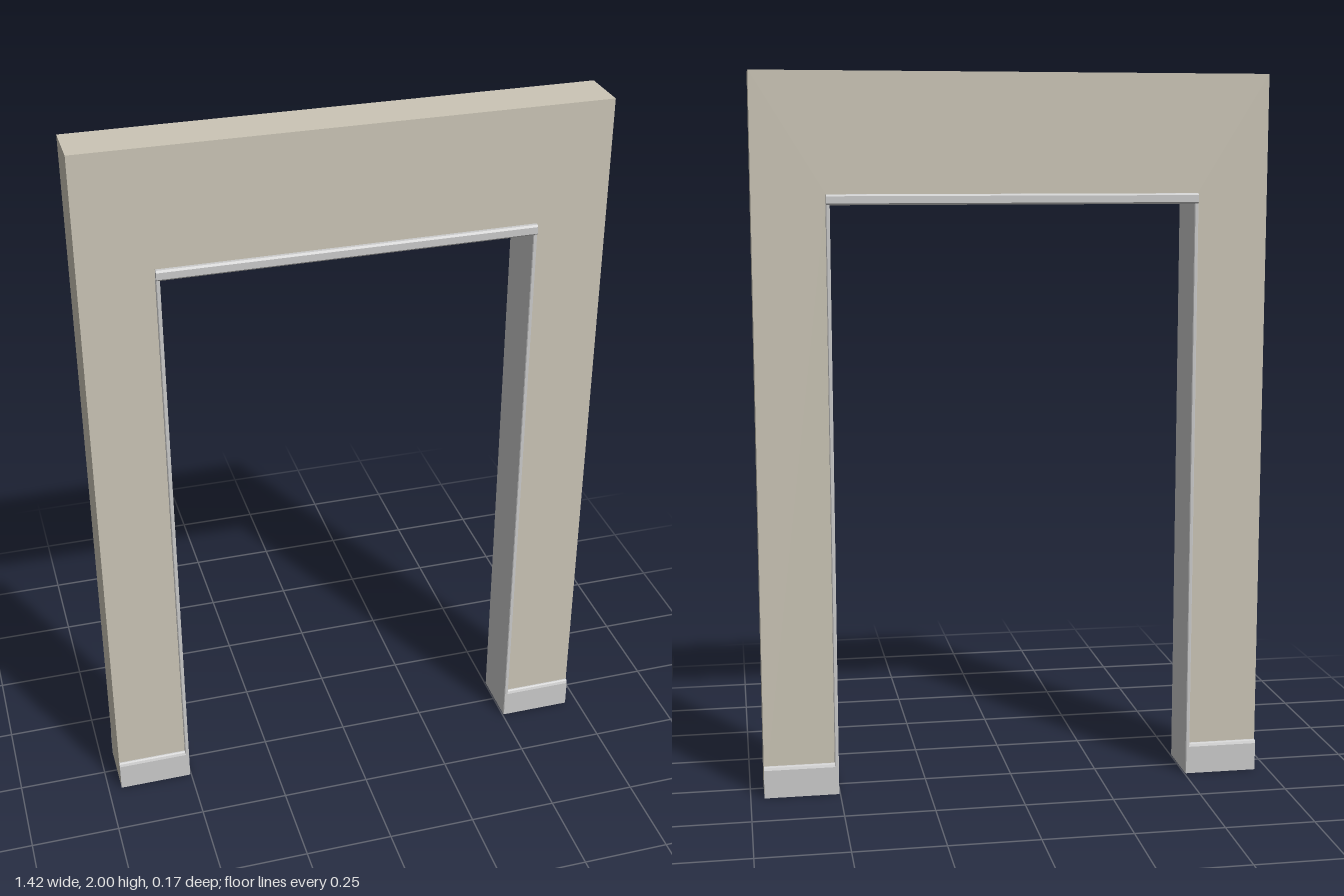
import * as THREE from 'three';

const W = 0.712, OPEN = 0.513, TOP = 1.675, D = 0.072;

// Extrude a closed outline, centred along its depth
function prism(points, depth) {
  const shape = new THREE.Shape(points.map(([x, y]) => new THREE.Vector2(x, y)));
  return new THREE.ExtrudeGeometry(shape, { depth, bevelEnabled: false }).translate(0, 0, -depth / 2);
}

// Rectangle outline with small cut corners
function chamfered(w, h, c) {
  const x = w / 2, y = h / 2;
  return [[-x + c, -y], [x - c, -y], [x, -y + c], [x, y - c], [x - c, y], [-x + c, y], [-x, y - c], [-x, -y + c]];
}

export function createModel() {
  const group = new THREE.Group();
  const wallMat = new THREE.MeshStandardMaterial({ color: 0xcbc5b6 });
  const trimMat = new THREE.MeshStandardMaterial({ color: 0xcccccc });
  const add = (name, geometry, material) => {
    const mesh = new THREE.Mesh(geometry, material);
    mesh.name = name;
    group.add(mesh);
    return mesh;
  };

  // Wall surrounding the doorway
  add('wall', prism([
    [-W, 0], [-OPEN, 0], [-OPEN, TOP], [OPEN, TOP], [OPEN, 0], [W, 0], [W, 2], [-W, 2],
  ], D * 2), wallMat);

  // Lintel trim under the wall, running across the opening
  const lintel = add('lintelTrim', prism(chamfered(0.172, 0.029, 0.005), OPEN * 2), trimMat);
  lintel.rotation.y = Math.PI / 2;
  lintel.position.y = 1.6605;

  for (const side of [1, -1]) {
    const name = side > 0 ? 'left' : 'right';

    // Thin lining on the side of the opening
    const jamb = add(name + 'Jamb', prism(chamfered(0.011, 0.164, 0.002), 1.65), trimMat);
    jamb.rotation.x = Math.PI / 2;
    jamb.position.set(side * 0.5085, 0.825, 0);

    // Skirting boards on the front and back of each leg
    for (const face of [1, -1]) {
      const skirting = add(name + (face > 0 ? 'Front' : 'Back') + 'Skirting',
        prism([[0, 0], [0.011, 0], [0.011, 0.08], [0.008, 0.087], [0.004, 0.09], [0, 0.09]], W - 0.505), trimMat);
      skirting.rotation.y = -face * Math.PI / 2;
      skirting.position.set(side * (W + 0.505) / 2, 0, face * (D - 0.001));
    }
  }
  return group;
}
